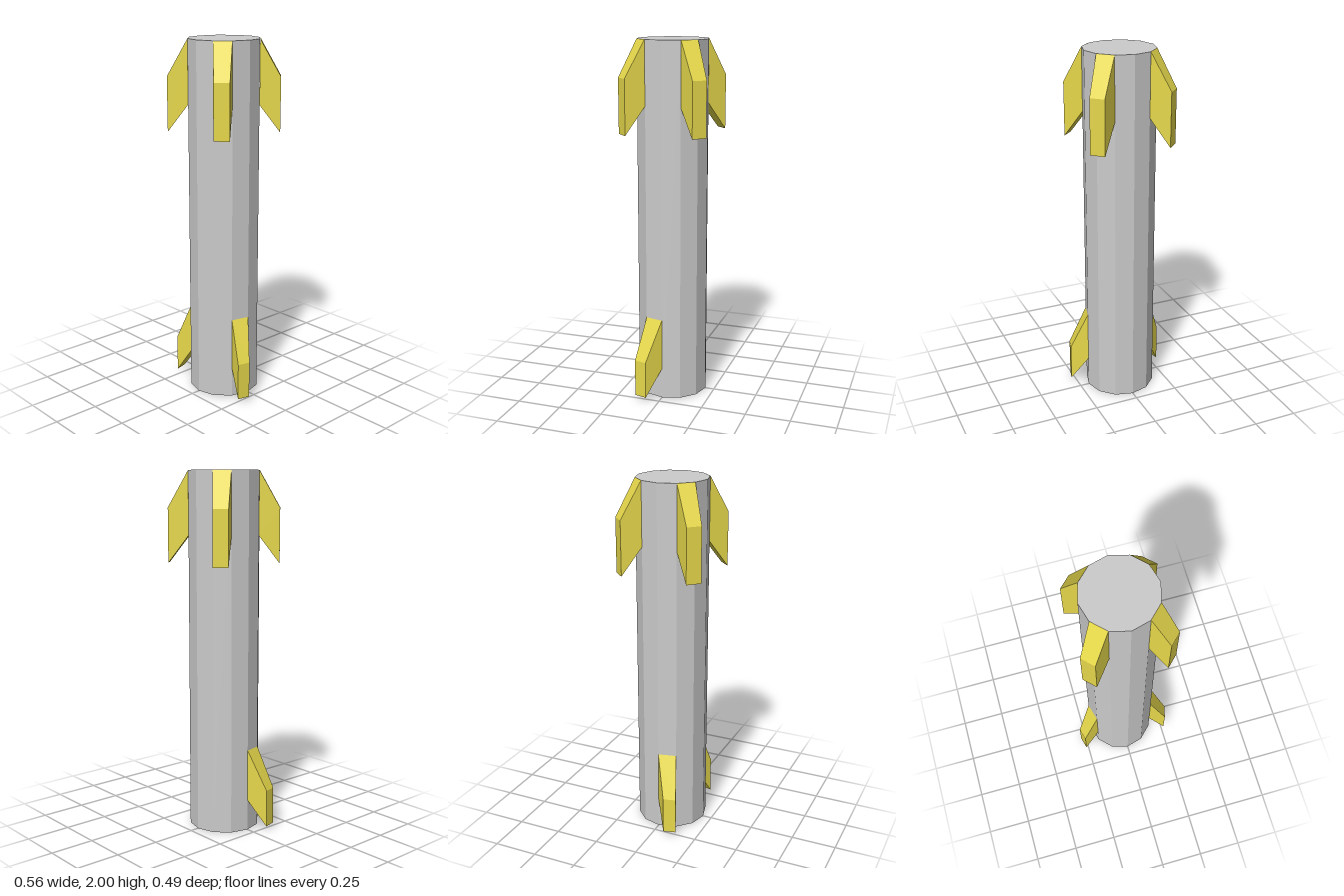
import * as THREE from 'three';

const grey = new THREE.MeshStandardMaterial({ color: 0xcccccc, flatShading: true });
const yellow = new THREE.MeshStandardMaterial({ color: 0xe6d84b, flatShading: true });

// Swept fin: a box whose corners are moved to a root edge on the body and a lower, narrower tip.
// Each end has two [x, z] corners and a [bottom, top] height; sx and sz mirror the fin.
function makeFin(name, { root, tip, rootY, tipY }, sx, sz) {
  const geometry = new THREE.BoxGeometry(1, 1, 1);
  const pos = geometry.attributes.position;
  const flip = sx * sz < 0; // keeps the faces outward when mirrored
  for (let i = 0; i < pos.count; i++) {
    const outer = pos.getX(i) > 0;
    const first = (pos.getZ(i) > 0) !== flip;
    const [x, z] = (outer ? tip : root)[first ? 0 : 1];
    const y = (outer ? tipY : rootY)[pos.getY(i) > 0 ? 1 : 0];
    pos.setXYZ(i, x * sx, y, z * sz);
  }
  geometry.computeVertexNormals();
  const fin = new THREE.Mesh(geometry, yellow);
  fin.name = name;
  return fin;
}

const upperFin = {
  root: [[0.1, 0.171], [0.171, 0.1]], rootY: [1.65, 2],
  tip: [[0.186, 0.245], [0.245, 0.186]], tipY: [1.5, 1.8],
};
const lowerFin = {
  root: [[0.171, 0.099], [0.198, 0]], rootY: [0.175, 0.465],
  tip: [[0.264, 0.137], [0.282, 0.068]], tipY: [0.025, 0.235],
};

export function createModel() {
  const model = new THREE.Group();
  model.name = 'finnedTube';

  // Twelve-sided body
  const body = new THREE.Mesh(new THREE.CylinderGeometry(0.198, 0.198, 2, 12), grey);
  body.name = 'body';
  body.position.y = 1;
  model.add(body);

  for (const sx of [1, -1]) {
    const side = sx > 0 ? 'Left' : 'Right';
    // Four fins at the top, two near the foot
    model.add(makeFin(`upperFinFront${side}`, upperFin, sx, 1));
    model.add(makeFin(`upperFinBack${side}`, upperFin, sx, -1));
    model.add(makeFin(`lowerFin${side}`, lowerFin, sx, 1));
  }
  return model;
}
